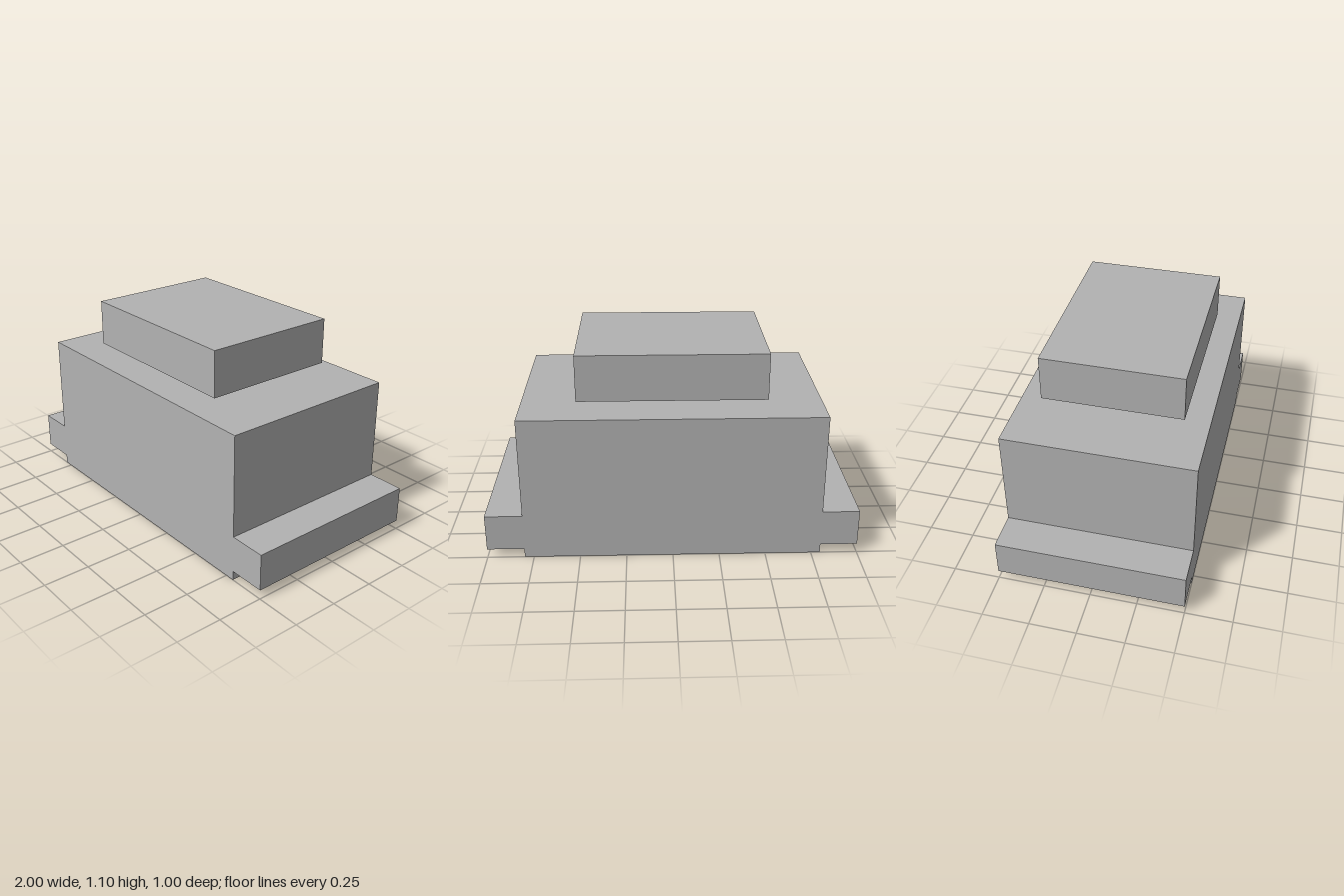
import * as THREE from 'three';

export function createModel() {
  const group = new THREE.Group();
  const grey = new THREE.MeshStandardMaterial({ color: 0xb2b2b2 });
  grey.name = 'grey';

  // Body with a flush ledge on each side, extruded from one stepped outline
  const right = [[0.8, 0], [0.8, 0.05], [1, 0.05], [1, 0.25], [0.8, 0.25], [0.8, 0.8]];
  const left = right.map(([x, y]) => [-x, y]).reverse();
  const outline = new THREE.Shape([...right, ...left].map(([x, y]) => new THREE.Vector2(x, y)));
  const bodyGeometry = new THREE.ExtrudeGeometry(outline, { depth: 1, bevelEnabled: false });
  bodyGeometry.translate(0, 0, -0.5);
  const body = new THREE.Mesh(bodyGeometry, grey);
  body.name = 'bodyWithSideLedges';
  group.add(body);

  // Top block, hovering just above the body
  const topBlock = new THREE.Mesh(new THREE.BoxGeometry(1, 0.25, 0.75), grey);
  topBlock.name = 'topBlock';
  topBlock.position.y = 0.975;
  group.add(topBlock);

  return group;
}
